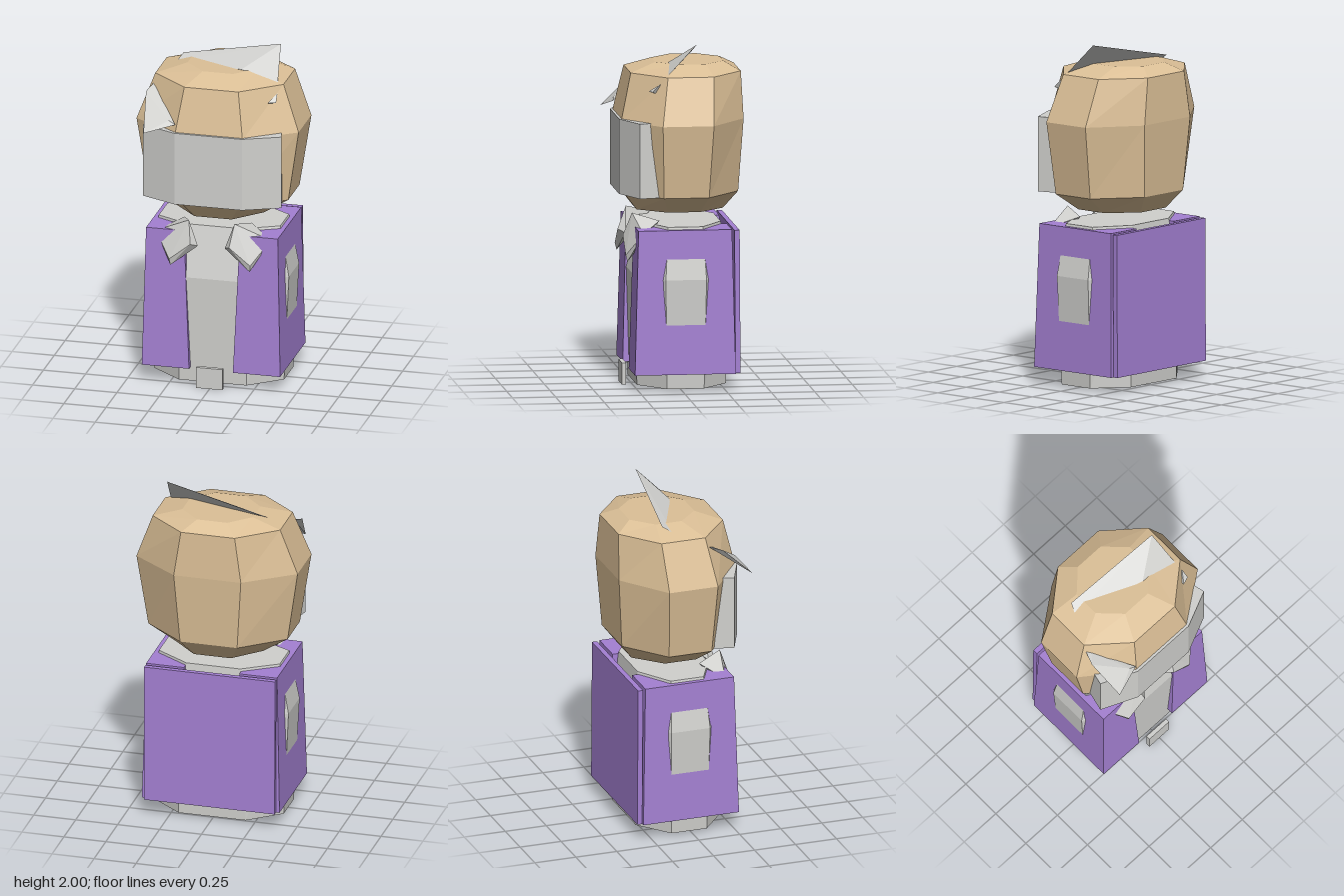
import * as THREE from 'three';
import { ConvexGeometry } from 'three/addons/geometries/ConvexGeometry.js';

const material = (name, color) => {
  const m = new THREE.MeshStandardMaterial({ color, flatShading: true });
  m.name = name;
  return m;
};

// Octagonal loft; each ring is [y, side x, flat half width, front z, back z, side front z, side back z]
function loft(rings) {
  const loops = rings.map(([y, xs, xf, zf, zb, sf, sb]) => [
    [xf, zf], [xs, sf], [xs, sb], [xf, zb], [-xf, zb], [-xs, sb], [-xs, sf], [-xf, zf],
  ].map(([x, z]) => [x, y, z]));
  const pos = [];
  const tri = (...pts) => pts.forEach((p) => pos.push(...p));
  for (let i = 0; i < loops.length - 1; i++) {
    for (let k = 0; k < 8; k++) {
      const n = (k + 1) % 8;
      const [a, b, c, d] = [loops[i][k], loops[i][n], loops[i + 1][n], loops[i + 1][k]];
      tri(a, b, c);
      tri(a, c, d);
    }
  }
  const bottom = loops[0], top = loops[loops.length - 1];
  for (let k = 1; k < 7; k++) {
    tri(top[0], top[k], top[k + 1]);
    tri(bottom[0], bottom[k + 1], bottom[k]);
  }
  const g = new THREE.BufferGeometry();
  g.setAttribute('position', new THREE.Float32BufferAttribute(pos, 3));
  g.computeVertexNormals();
  return g;
}

// Faceted solid around a few corners, optionally mirrored in x
const hull = (points, side = 1) =>
  new ConvexGeometry(points.map(([x, y, z]) => new THREE.Vector3(x * side, y, z)));

export function createModel() {
  const group = new THREE.Group();
  const skin = material('tan', 0xdcc097);
  const grey = material('light grey', 0xd0d0cd);
  const purple = material('purple', 0xa480d2);
  const add = (name, geometry, mat) => {
    const mesh = new THREE.Mesh(geometry, mat);
    mesh.name = name;
    group.add(mesh);
    return mesh;
  };

  // Head
  add('head', loft([
    [1.02, 0.26, 0.11, 0.23, -0.27, 0.07, -0.12],
    [1.125, 0.415, 0.17, 0.31, -0.35, 0.11, -0.15],
    [1.55, 0.48, 0.2, 0.33, -0.378, 0.125, -0.17],
    [1.82, 0.38, 0.16, 0.27, -0.367, 0.083, -0.183],
    [1.87, 0.21, 0.09, 0.12, -0.275, 0.0, -0.158],
  ]), skin);

  // Face mask wrapping the front of the head
  const outline = [[0.2, 0.343], [0.41, 0.25], [0.38, 0.12]];
  const full = [...outline, ...outline.map(([x, z]) => [-x, z]).reverse()];
  const mask = new THREE.ExtrudeGeometry(
    new THREE.Shape(full.map(([x, z]) => new THREE.Vector2(x, -z))),
    { depth: 0.435, bevelEnabled: false });
  mask.rotateX(-Math.PI / 2).translate(0, 1.125, 0);
  add('faceMask', mask, grey);

  // Hair shards
  add('topHairShard', hull([
    [0.32, 2, -0.09], [-0.27, 1.875, -0.14], [-0.295, 1.84, -0.08],
    [0.345, 1.825, 0.08], [0.12, 1.873, 0.045],
  ]), grey);
  add('sideHairShard', hull([
    [-0.375, 1.555, 0.375], [-0.2, 1.605, 0.325], [-0.24, 1.625, 0.315],
    [-0.3, 1.69, 0.21], [-0.36, 1.75, 0.13], [-0.385, 1.765, 0.1], [-0.41, 1.74, 0.18],
  ]), grey);
  add('smallHairShard', hull([
    [0.313, 1.735, 0.185], [0.355, 1.78, 0.125], [0.358, 1.735, 0.17], [0.3, 1.7, 0.1],
  ]), grey);

  // Barrel body
  add('body', loft([
    [0.015, 0.385, 0.2, 0.24, -0.275, 0.09, -0.125],
    [0.65, 0.416, 0.2, 0.255, -0.285, 0.1, -0.135],
    [0.95, 0.36, 0.16, 0.18, -0.25, 0.08, -0.12],
  ]), grey);

  // Coat sides and collar flaps
  for (const [label, s] of [['left', 1], ['right', -1]]) {
    add(label + 'CoatPanel', hull([
      [0.165, 0.935, 0.255], [0.39, 0.935, 0.255], [0.39, 0.935, -0.285], [0.165, 0.935, -0.285],
      [0.13, 0.1, 0.278], [0.41, 0.1, 0.278], [0.41, 0.1, -0.305], [0.13, 0.1, -0.305],
    ], s), purple);
    add(label + 'Collar', hull([
      [0.135, 1.005, 0.26], [0.2, 0.965, 0.11], [0.34, 0.91, 0.22], [0.24, 0.775, 0.31],
      [0.115, 0.875, 0.31], [0.235, 0.735, 0.3], [0.08, 0.855, 0.27],
    ], s), grey);
  }

  // Coat back
  add('coatBack', hull([0.39, -0.39].flatMap((x) => [
    [x, 0.93, -0.3], [x, 0.93, -0.33], [x, 0.1, -0.306], [x, 0.1, -0.335],
  ])), purple);

  // Front tab
  add('frontTab', new THREE.BoxGeometry(0.155, 0.125, 0.025), grey).position.set(-0.002, 0.0625, 0.298);

  return group;
}
